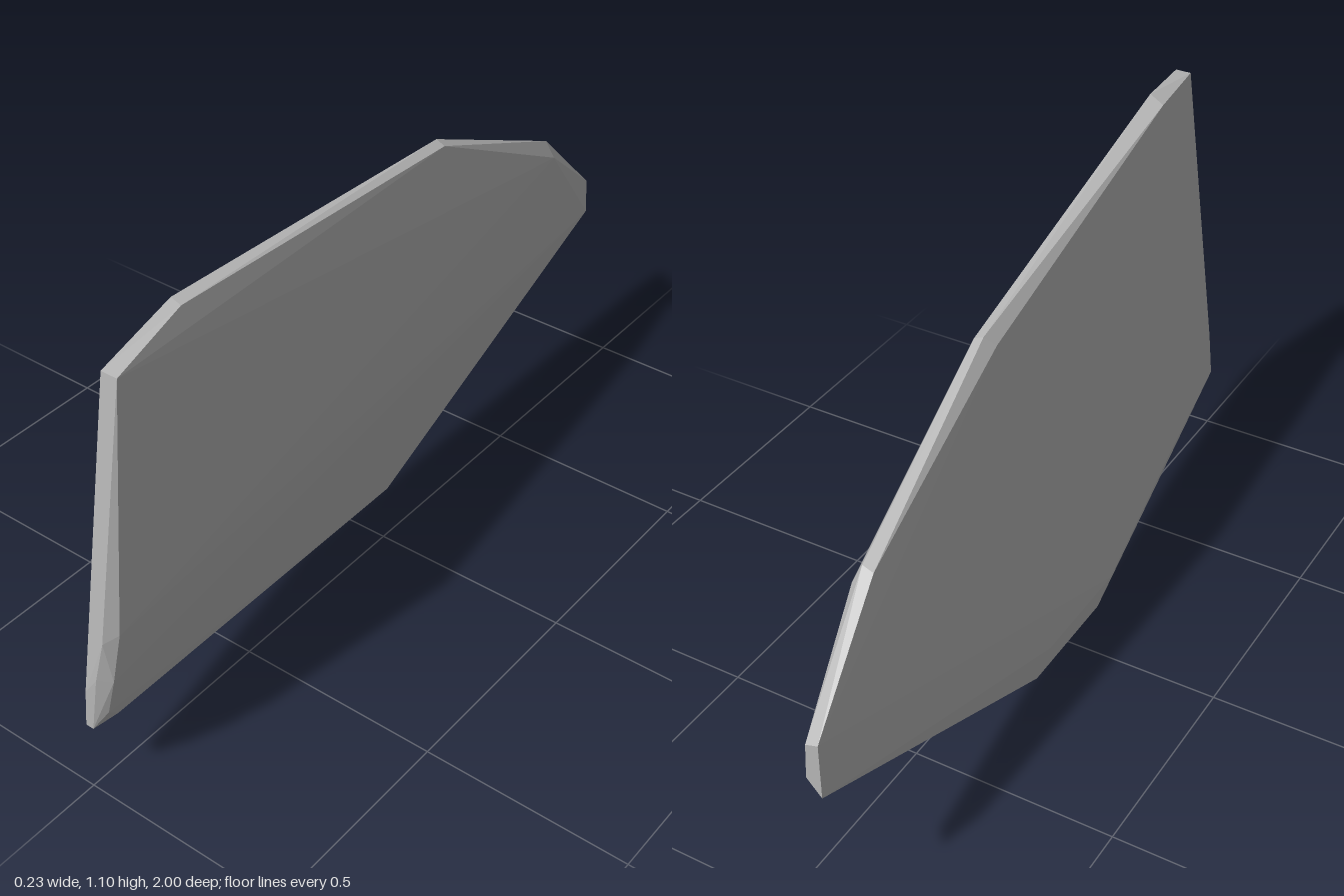
import * as THREE from 'three';
import { ConvexGeometry } from 'three/addons/geometries/ConvexGeometry.js';

export function createModel() {
  const group = new THREE.Group();
  group.name = 'stoneShard';
  const stone = new THREE.MeshStandardMaterial({ color: 0xb6b6b6 });
  stone.name = 'grey stone';

  // Corners of the slab, grouped around its rim as [x, y, z]
  const corners = [
    // tall front corner
    [0.075, 1.065, 0.93], [0.115, 1.065, 0.93],
    [0.035, 1.085, 0.7], [0.08, 1.095, 0.72],
    // sloping top edge with its bevel
    [-0.055, 0.955, -0.22], [-0.035, 0.98, -0.24], [-0.012, 0.97, -0.24],
    [-0.086, 0.735, -0.74], [-0.06, 0.745, -0.74], [-0.04, 0.7, -0.75],
    // blunt back tip
    [-0.12, 0.51, -1], [-0.09, 0.5, -1], [-0.085, 0.41, -1], [-0.12, 0.37, -1],
    // foot
    [-0.12, 0.06, 0.2], [-0.12, 0.06, -0.1], [-0.112, 0, 0.15],
    [-0.103, 0, 0.13], [-0.112, 0, -0.15], [-0.103, 0, -0.15],
    // low front corner and front edge
    [-0.08, 0.18, 0.6], [-0.01, 0.18, 0.98], [0, 0.18, 1], [0.02, 0.18, 1],
    [0.033, 0.185, 0.94], [0.05, 0.23, 0.98], [0.01, 0.28, 1], [0.045, 0.33, 1],
    [0.075, 0.33, 0.98], [0.07, 0.44, 0.995], [0.095, 0.46, 0.97],
  ];
  const geometry = new ConvexGeometry(corners.map((c) => new THREE.Vector3(...c)));
  const shard = new THREE.Mesh(geometry, stone);
  shard.name = 'shard';
  group.add(shard);
  return group;
}
